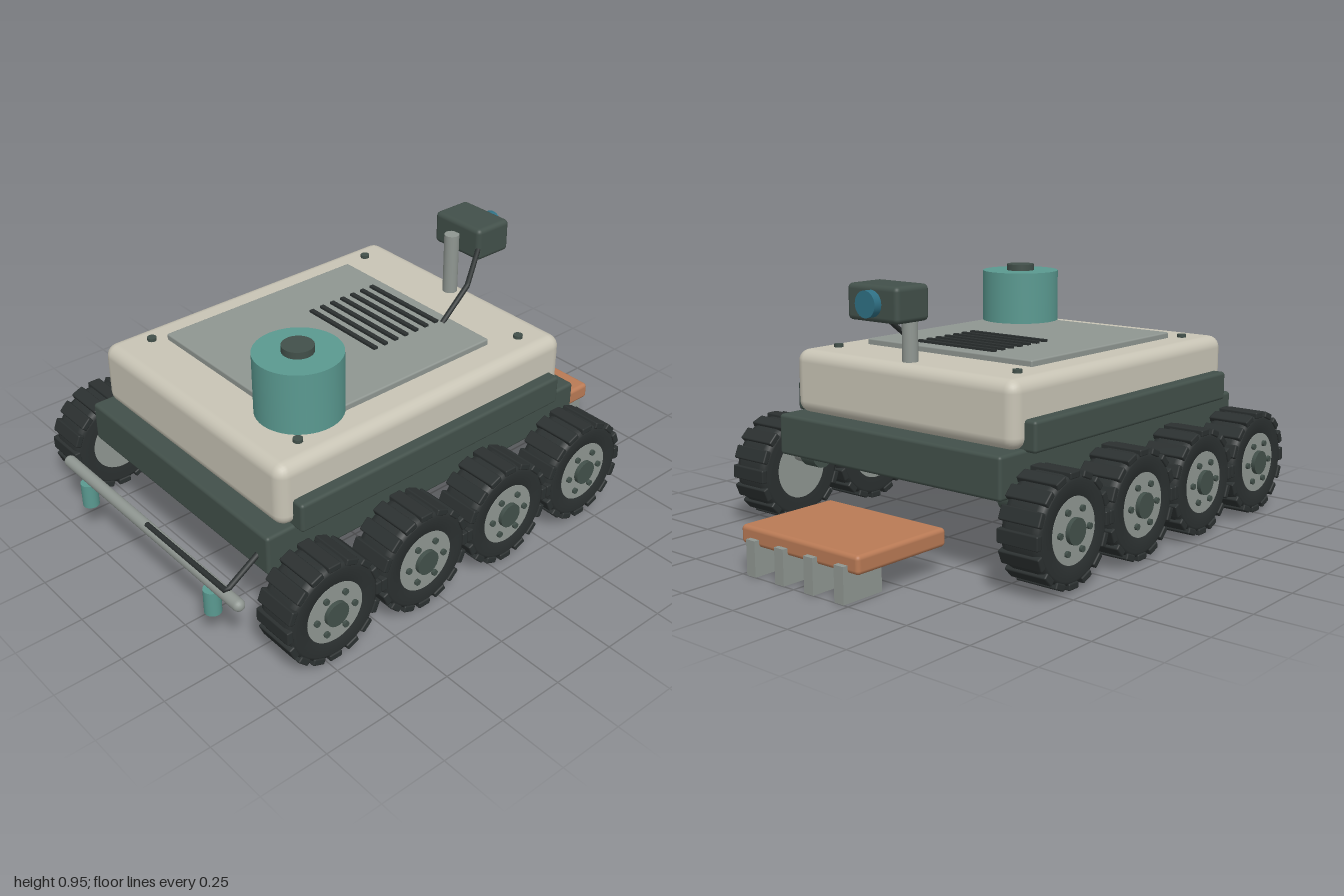
import * as THREE from 'three';
import { RoundedBoxGeometry } from 'three/addons/geometries/RoundedBoxGeometry.js';

const mat = (color, side = THREE.FrontSide) => new THREE.MeshStandardMaterial({ color, side });
const CREAM = mat(0xc8c4b5), DARK = mat(0x42504a), TEAL = mat(0x5a9990), CLAY = mat(0xb97a55);
const METAL = mat(0x8f9691), RUBBER = mat(0x2b3030), LENS = mat(0x2f7084);

export function createModel() {
  const model = new THREE.Group();

  const add = (name, geometry, material, x = 0, y = 0, z = 0, parent = model) => {
    const mesh = new THREE.Mesh(geometry, material);
    mesh.name = name;
    mesh.position.set(x, y, z);
    parent.add(mesh);
    return mesh;
  };
  // rounded box given by its limits on each axis
  const block = (name, material, [x0, x1], [y0, y1], [z0, z1], r) =>
    add(name, new RoundedBoxGeometry(x1 - x0, y1 - y0, z1 - z0, 3, r), material,
      (x0 + x1) / 2, (y0 + y1) / 2, (z0 + z1) / 2);
  const cyl = (r, h, n = 32) => new THREE.CylinderGeometry(r, r, h, n);
  const cylX = (r, h, n = 32) => cyl(r, h, n).rotateZ(-Math.PI / 2);
  // straight-segment cable through points
  const cable = (name, points, r) => {
    const path = new THREE.CurvePath();
    const v = points.map(p => new THREE.Vector3(...p));
    for (let i = 1; i < v.length; i++) path.add(new THREE.LineCurve3(v[i - 1], v[i]));
    add(name, new THREE.TubeGeometry(path, 40, r, 8), RUBBER);
  };

  // hull
  block('chassis', DARK, [-0.52, 0.52], [0.295, 0.445], [-0.585, 0.84], 0.012);
  block('upperBody', CREAM, [-0.515, 0.515], [0.44, 0.675], [-0.51, 0.78], 0.045);
  block('leftSideRail', DARK, [0.48, 0.56], [0.435, 0.543], [-0.455, 0.73], 0.012);
  block('rightSideRail', DARK, [-0.56, -0.48], [0.435, 0.543], [-0.455, 0.73], 0.012);

  // deck plate, vents and corner screws
  block('deckPlate', METAL, [-0.39, 0.385], [0.668, 0.697], [-0.26, 0.585], 0.006);
  for (let i = 0; i < 7; i++)
    add('ventSlat', new THREE.BoxGeometry(0.36, 0.016, 0.017), RUBBER, 0, 0.698, -0.2 + i * 0.0485);
  for (const x of [-0.42, 0.42])
    for (const z of [-0.375, 0.63]) add('deckScrew', cyl(0.017, 0.02, 16), DARK, x, 0.677, z);

  // canister
  add('canister', cyl(0.152, 0.225, 48), TEAL, 0.277, 0.785, 0.51);
  add('canisterCap', cyl(0.055, 0.026), DARK, 0.277, 0.909, 0.51);

  // camera mast
  add('mast', cyl(0.028, 0.24, 24), METAL, 0, 0.79, -0.44);
  block('cameraHead', DARK, [-0.117, 0.117], [0.83, 0.955], [-0.624, -0.464], 0.018);
  add('cameraLens', cyl(0.046, 0.045).rotateX(Math.PI / 2), LENS, 0, 0.893, -0.633);
  cable('cameraCable', [[0.1, 0.885, -0.485], [0.17, 0.79, -0.36], [0.193, 0.695, -0.215]], 0.01);

  // wheels: outer face points along +x, mirrored by rotation
  const tireProfile = [[0.105, -0.076], [0.165, -0.08], [0.18, -0.072], [0.186, -0.05],
    [0.186, 0.05], [0.18, 0.072], [0.165, 0.08], [0.113, 0.076], [0.105, 0.06]]
    .map(p => new THREE.Vector2(...p));
  const tireGeo = new THREE.LatheGeometry(tireProfile, 48).rotateZ(-Math.PI / 2);
  const treadGeo = new RoundedBoxGeometry(0.164, 0.024, 0.05, 1, 0.005);
  const makeWheel = () => {
    const wheel = new THREE.Group();
    wheel.name = 'wheel';
    add('tire', tireGeo, RUBBER, 0, 0, 0, wheel);
    add('rim', cylX(0.113, 0.155, 40), METAL, 0, 0, 0, wheel);
    add('hubCap', cylX(0.045, 0.03), DARK, 0.078, 0, 0, wheel);
    for (let i = 0; i < 6; i++) {
      const a = (i + 0.5) * Math.PI / 3;
      add('lugBolt', cylX(0.011, 0.02, 10), DARK, 0.078, 0.078 * Math.cos(a), 0.078 * Math.sin(a), wheel);
    }
    for (let i = 0; i < 16; i++) {
      const a = i * Math.PI / 8;
      add('tread', treadGeo, RUBBER, 0, 0.183 * Math.cos(a), 0.183 * Math.sin(a), wheel).rotation.x = a;
    }
    return wheel;
  };
  for (const s of [-1, 1])
    for (const z of [0.725, 0.334, -0.058, -0.45]) {
      const wheel = makeWheel();
      wheel.position.set(s * 0.635, 0.21, z);
      if (s < 0) wheel.rotation.y = Math.PI;
      model.add(wheel);
      add('axle', cylX(0.04, 0.12, 20), METAL, s * 0.51, 0.278, z);
      add('axleBracket', cylX(0.05, 0.07, 20), DARK, s * 0.472, 0.28, z);
    }

  // front sensor bar with its feed line
  add('sensorBar', new THREE.CapsuleGeometry(0.022, 1.032, 6, 20).rotateZ(Math.PI / 2), METAL, 0, 0.245, 0.96);
  for (const x of [-0.38, 0.38]) add('sensor', cyl(0.03, 0.095, 24), TEAL, x, 0.182, 0.968);
  cable('sensorLine', [[0.46, 0.36, 0.82], [0.46, 0.268, 0.965], [0, 0.262, 0.965]], 0.01);

  // rear tool plate and tines
  block('toolPlate', CLAY, [-0.277, 0.277], [0.1, 0.165], [-0.98, -0.57], 0.015);
  for (let i = 0; i < 4; i++)
    add('tine', new THREE.BoxGeometry(0.042, 0.125, 0.17), METAL, -0.21 + i * 0.139, 0.0645, -0.915);

  return model;
}
